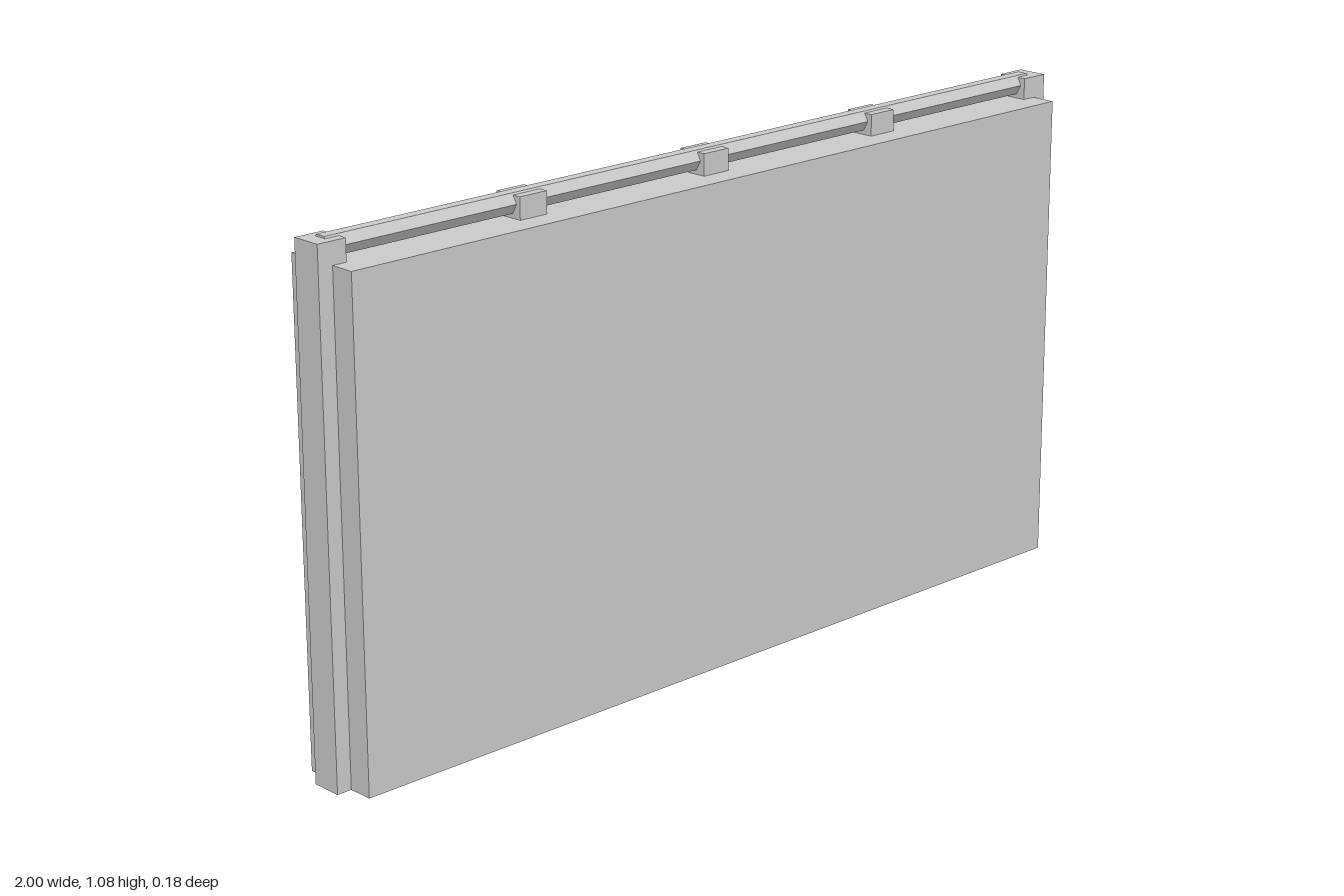
import * as THREE from 'three';

const material = new THREE.MeshStandardMaterial({ color: 0xcccccc, flatShading: true });

export function createModel() {
  const group = new THREE.Group();

  // box given by its centre x, its y range and its width and depth
  const addBox = (name, x, y0, y1, width, depth) => {
    const mesh = new THREE.Mesh(new THREE.BoxGeometry(width, y1 - y0, depth), material);
    mesh.name = name;
    mesh.position.set(x, (y0 + y1) / 2, 0);
    group.add(mesh);
  };

  // thick wall panel
  addBox('wallPanel', 0, 0, 1.035, 1.934, 0.176);

  // narrow posts projecting from both ends
  for (const side of [-1, 1]) {
    addBox(side > 0 ? 'leftPost' : 'rightPost', side * 0.9675, 0, 1.081, 0.065, 0.067);
  }

  // brackets that carry the rail
  for (const x of [-0.484, 0, 0.484]) {
    addBox('railBracket', x, 1.03, 1.081, 0.068, 0.067);
  }

  // six-sided handrail with a flat top
  const railGeometry = new THREE.CylinderGeometry(0.0235, 0.0235, 1.934, 6);
  railGeometry.rotateY(Math.PI / 6 * 3);
  railGeometry.rotateZ(Math.PI / 2);
  // a corner must point along z so that faces lie at top and bottom
  railGeometry.computeBoundingBox();
  const size = railGeometry.boundingBox.getSize(new THREE.Vector3());
  if (size.y > size.z) railGeometry.rotateX(Math.PI / 6);
  const rail = new THREE.Mesh(railGeometry, material);
  rail.name = 'handrail';
  rail.position.y = 1.0645;
  group.add(rail);

  return group;
}
